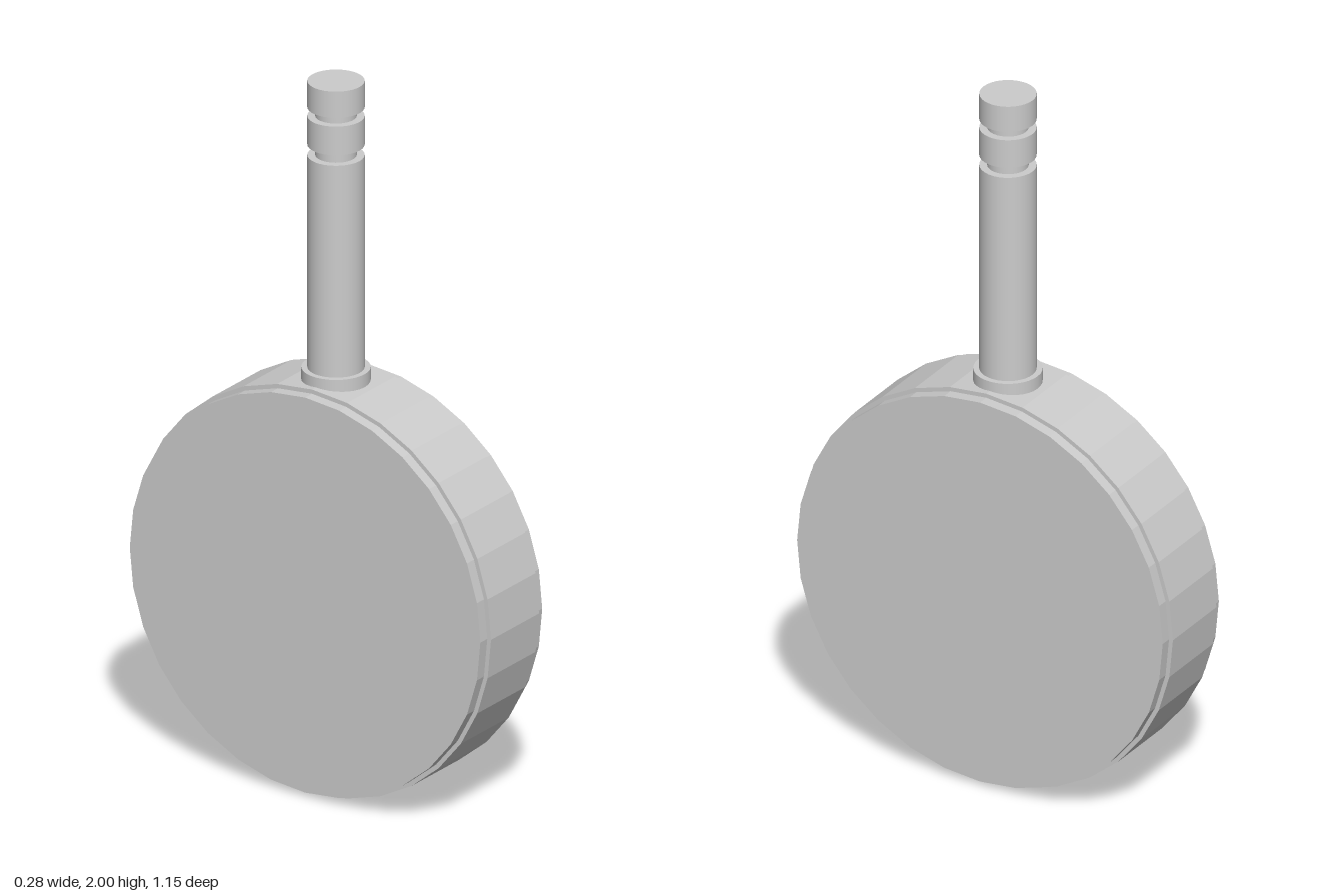
import * as THREE from 'three';

const SIDES = 32;

export function createModel() {
  const model = new THREE.Group();
  const smooth = new THREE.MeshStandardMaterial({ color: 0xcccccc });
  const faceted = new THREE.MeshStandardMaterial({ color: 0xcccccc, flatShading: true });

  // Round body: a wide band with slightly smaller end plates, axis along x
  const body = new THREE.Group();
  body.name = 'body';
  body.position.y = 0.577;
  const addDisc = (name, radius, width, x) => {
    const disc = new THREE.Mesh(new THREE.CylinderGeometry(radius, radius, width, SIDES), faceted);
    disc.name = name;
    disc.rotation.z = Math.PI / 2;
    disc.position.x = x;
    body.add(disc);
  };
  addDisc('bodyBand', 0.577, 0.22, 0);
  for (const side of [-1, 1]) {
    addDisc(side > 0 ? 'leftPlate' : 'rightPlate', 0.565, 0.032, side * 0.126);
  }
  model.add(body);

  // Upright stem with two grooves near its tip: name, radius, bottom, top
  const stem = new THREE.Group();
  stem.name = 'stem';
  const sections = [
    ['collar', 0.092, 1.12, 1.182],
    ['shaft', 0.076, 1.182, 1.788],
    ['lowerGroove', 0.055, 1.788, 1.818],
    ['ring', 0.076, 1.818, 1.9],
    ['upperGroove', 0.055, 1.9, 1.925],
    ['tip', 0.076, 1.925, 2],
  ];
  for (const [name, radius, bottom, top] of sections) {
    const part = new THREE.Mesh(new THREE.CylinderGeometry(radius, radius, top - bottom, SIDES), smooth);
    part.name = name;
    part.position.y = (bottom + top) / 2;
    stem.add(part);
  }
  model.add(stem);

  return model;
}
